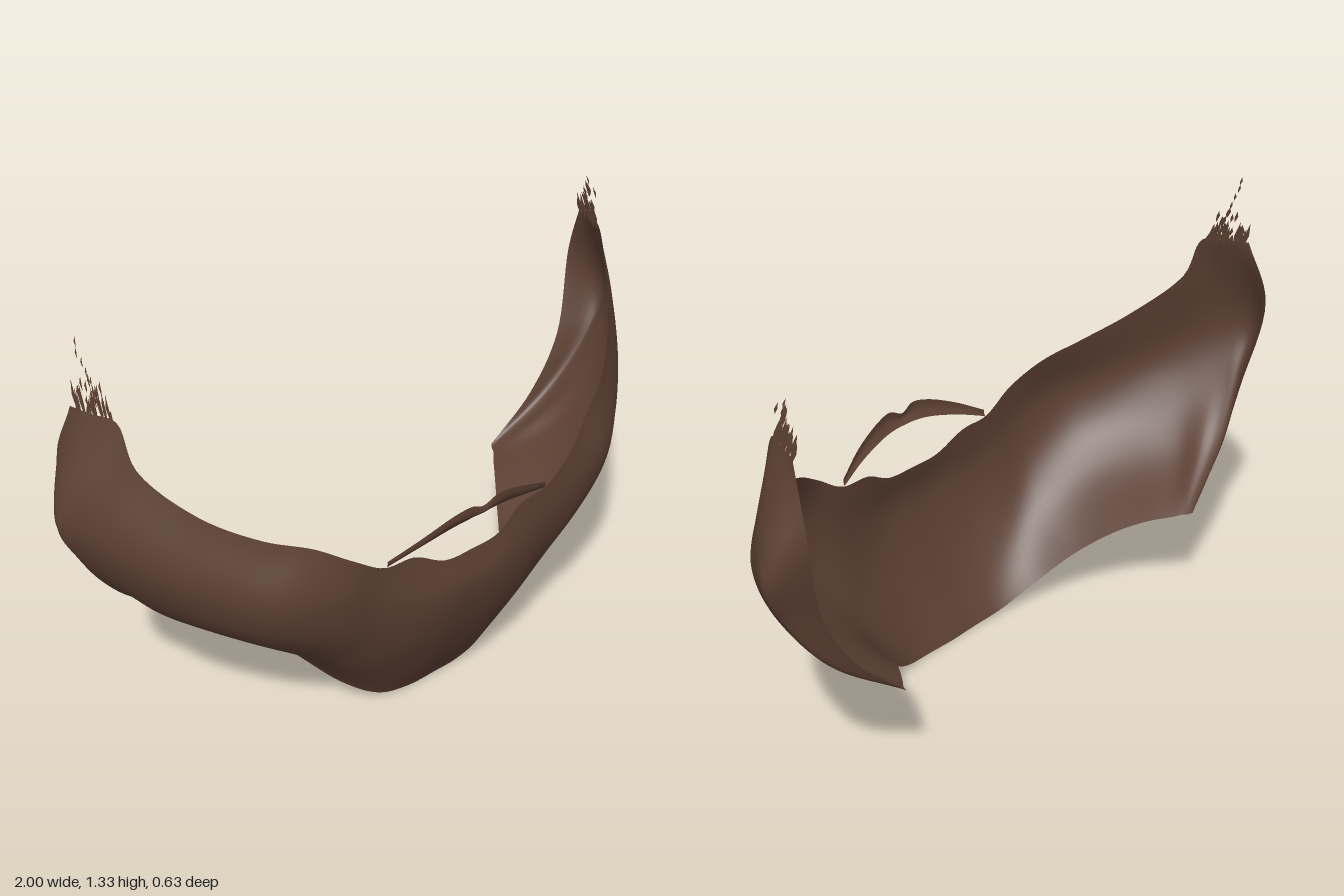
import * as THREE from 'three';

const brown = new THREE.MeshStandardMaterial({ color: 0x5c4033, side: THREE.DoubleSide });
brown.name = 'dark brown hair';

// Guide lines run from the chin centre to the back edge of the left side
const upperLip = [[0, .545, .268], [.1, .55, .266], [.2, .6, .252], [.3, .61, .248], [.4, .675, .24], [.5, .74, .2],
  [.62, .79, .14], [.745, .87, .045], [.842, .995, -.07], [.856, 1.12, -.12], [.885, 1.125, -.19], [.908, 1.13, -.25]];
const cheek = [[0, .44, .287], [.1, .44, .285], [.21, .45, .268], [.33, .49, .25], [.45, .55, .247], [.59, .6, .212],
  [.715, .64, .125], [.835, .7, .015], [.92, .78, -.09], [.972, .825, -.17], [1, .825, -.225], [.93, .95, -.312]];
const middle = [[0, .3, .257], [.1, .3, .255], [.205, .3, .24], [.335, .36, .222], [.462, .42, .215], [.605, .475, .165],
  [.728, .52, .06], [.835, .58, -.06], [.905, .645, -.145], [.94, .68, -.2], [.95, .69, -.23], [.87, .68, -.285]];
const jaw = [[0, .15, .195], [.1, .15, .193], [.205, .16, .175], [.33, .22, .158], [.445, .3, .13], [.575, .37, .062],
  [.685, .42, -.05], [.76, .455, -.145], [.8, .495, -.205], [.82, .5, -.24], [.828, .51, -.265], [.77, .5, -.292]];
const lowerEdge = [[0, 0, .11], [.1, .003, .11], [.2, .02, .095], [.3, .085, .05], [.4, .19, -.035], [.48, .275, -.135],
  [.54, .315, -.21], [.585, .332, -.265], [.605, .34, -.287], [.61, .343, -.298], [.615, .346, -.306], [.62, .35, -.313]];

// Mirrors a half guide line and makes it a smooth curve
function mirroredCurve(half) {
  const right = half.slice(1).reverse().map(([x, y, z]) => [-x, y, z]);
  return new THREE.CatmullRomCurve3([...right, ...half].map(p => new THREE.Vector3(...p)));
}

// Smooth sheet through guide lines given from top to bottom
function loft(name, guides, nu, nv) {
  const curves = guides.map(mirroredCurve);
  const positions = [], index = [];
  for (let i = 0; i <= nu; i++) {
    const column = new THREE.CatmullRomCurve3(curves.map(c => c.getPoint(i / nu)));
    for (let j = 0; j <= nv; j++) positions.push(...column.getPoint(j / nv).toArray());
  }
  for (let i = 0; i < nu; i++) {
    for (let j = 0; j < nv; j++) {
      const a = i * (nv + 1) + j, b = a + nv + 1;
      index.push(a, a + 1, b, b, a + 1, b + 1);
    }
  }
  return makeMesh(name, positions, index);
}

function makeMesh(name, positions, index) {
  const geometry = new THREE.BufferGeometry();
  geometry.setAttribute('position', new THREE.Float32BufferAttribute(positions, 3));
  geometry.setIndex(index);
  geometry.computeVertexNormals();
  const mesh = new THREE.Mesh(geometry, brown);
  mesh.name = name;
  return mesh;
}

// Ragged hair flakes above one sideburn; side is +1 (left) or -1 (right)
function wisps(name, side, seed, tallest) {
  const random = () => (seed = (seed * 16807) % 2147483647) / 2147483647;
  const positions = [], index = [];
  const flake = (y, z, length, width) => {
    const t = (-.12 - z) / .13;
    const x = side * (.858 + .045 * t + (random() - .5) * .012);
    const lean = -.3 * length, n = positions.length / 3;
    positions.push(x, y, z, x, y + length * .45, z + lean * .45 + width / 2,
      x - side * .004, y + length, z + lean, x, y + length * .55, z + lean * .55 - width / 2);
    // outward faces
    if (side > 0) index.push(n, n + 2, n + 1, n, n + 3, n + 2);
    else index.push(n, n + 1, n + 2, n, n + 2, n + 3);
  };
  // rooted tufts
  for (let k = 0; k < 18; k++) flake(1.105, -.13 - .105 * k / 17, .04 + .055 * random(), .016);
  // loose flakes, sparser with height
  for (let k = 0; k < 20; k++) {
    const h = random() ** 1.6;
    flake(1.14 + .06 * h, -.15 - .08 * random(), .02 + .025 * random(), .011);
  }
  // thin strand tips
  for (let y = 1.2; y < tallest; y += .026) flake(y, -.185 - (y - 1.2) * .3, .028, .008);
  return makeMesh(name, positions, index);
}

export function createModel() {
  const group = new THREE.Group();
  group.name = 'beard';
  group.add(loft('beardShell', [upperLip, cheek, middle, jaw, lowerEdge], 132, 32));

  // Thin arched moustache
  const top = [[0, .71, .308], [.045, .728, .312], [.1, .72, .305], [.2, .68, .285], [.295, .63, .252]];
  const ridge = [[0, .692, .312], [.045, .7, .312], [.1, .695, .304], [.2, .66, .284], [.295, .62, .252]];
  const bottom = [[0, .677, .296], [.045, .676, .295], [.1, .669, .289], [.2, .643, .272], [.295, .61, .248]];
  group.add(loft('moustache', [top, ridge, bottom], 48, 6));

  group.add(wisps('leftSideburnWisps', 1, 71, 1.24));
  group.add(wisps('rightSideburnWisps', -1, 345, 1.31));
  return group;
}
